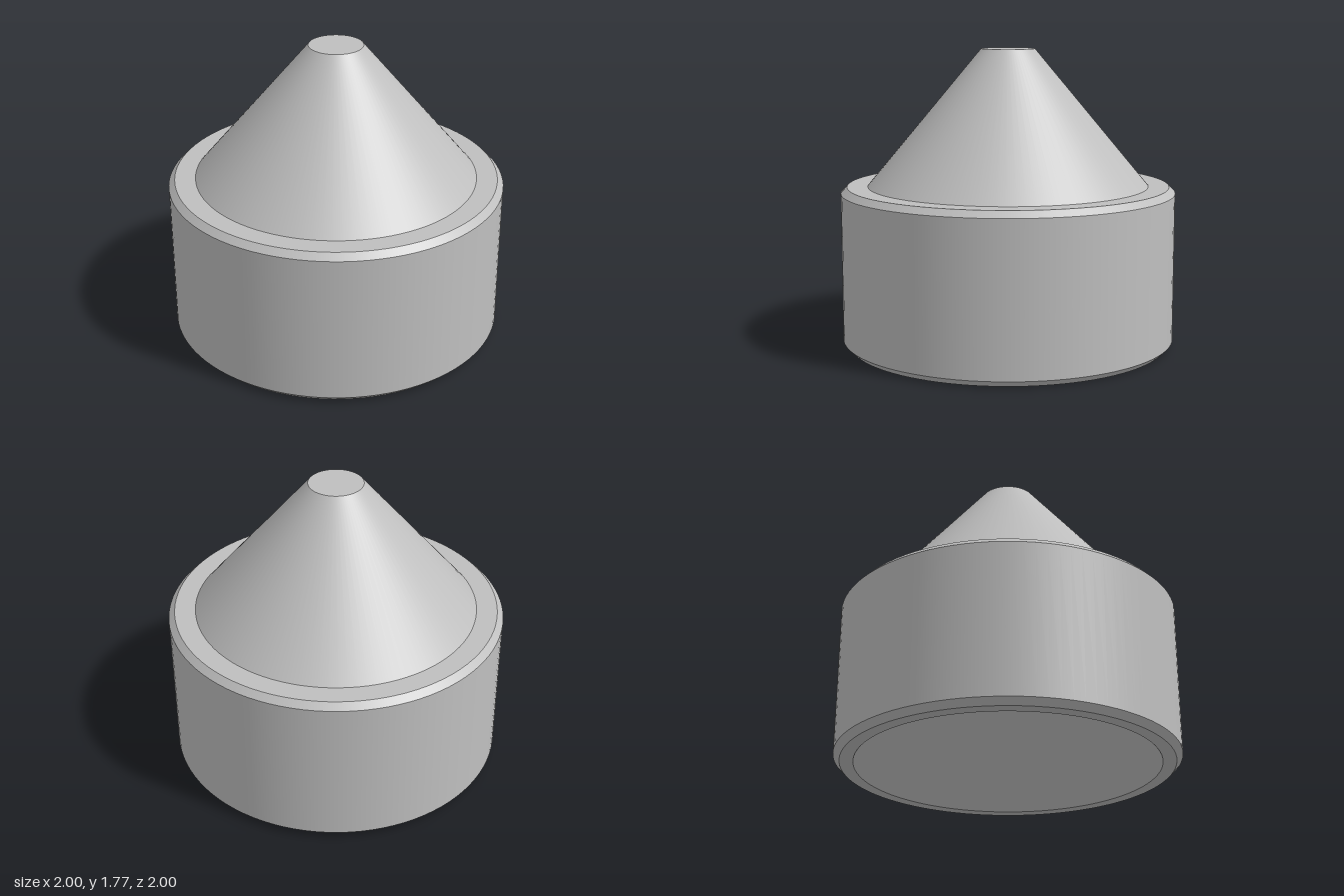
import * as THREE from 'three';

export function createModel() {
  const group = new THREE.Group();
  group.name = 'stackableCone';
  const grey = new THREE.MeshStandardMaterial({ color: 0xbfbfbf });
  grey.name = 'plain grey';

  // Each consecutive pair of profile points is one smooth band, so edges between bands stay sharp
  const addTurnedPart = (name, profile) => {
    const part = new THREE.Group();
    part.name = name;
    for (let i = 0; i < profile.length - 1; i++) {
      const band = [profile[i], profile[i + 1]].map(([r, y]) => new THREE.Vector2(r, y));
      const mesh = new THREE.Mesh(new THREE.LatheGeometry(band, 96), grey);
      mesh.name = `${name}Band${i + 1}`;
      part.add(mesh);
    }
    group.add(part);
  };

  // Conical hollow underneath, matching the nose so pieces can nest
  addTurnedPart('recess', [[0, 0.82], [0.2, 0.82], [0.885, 0]]);

  // Cylindrical base with chamfered rims and a flat shoulder
  addTurnedPart('base', [[0.885, 0], [0.963, 0], [1, 0.037], [1, 0.925], [0.963, 0.962], [0.84, 0.962]]);

  // Truncated cone nose with a flat tip
  addTurnedPart('nose', [[0.84, 0.962], [0.16, 1.775], [0, 1.775]]);

  return group;
}
